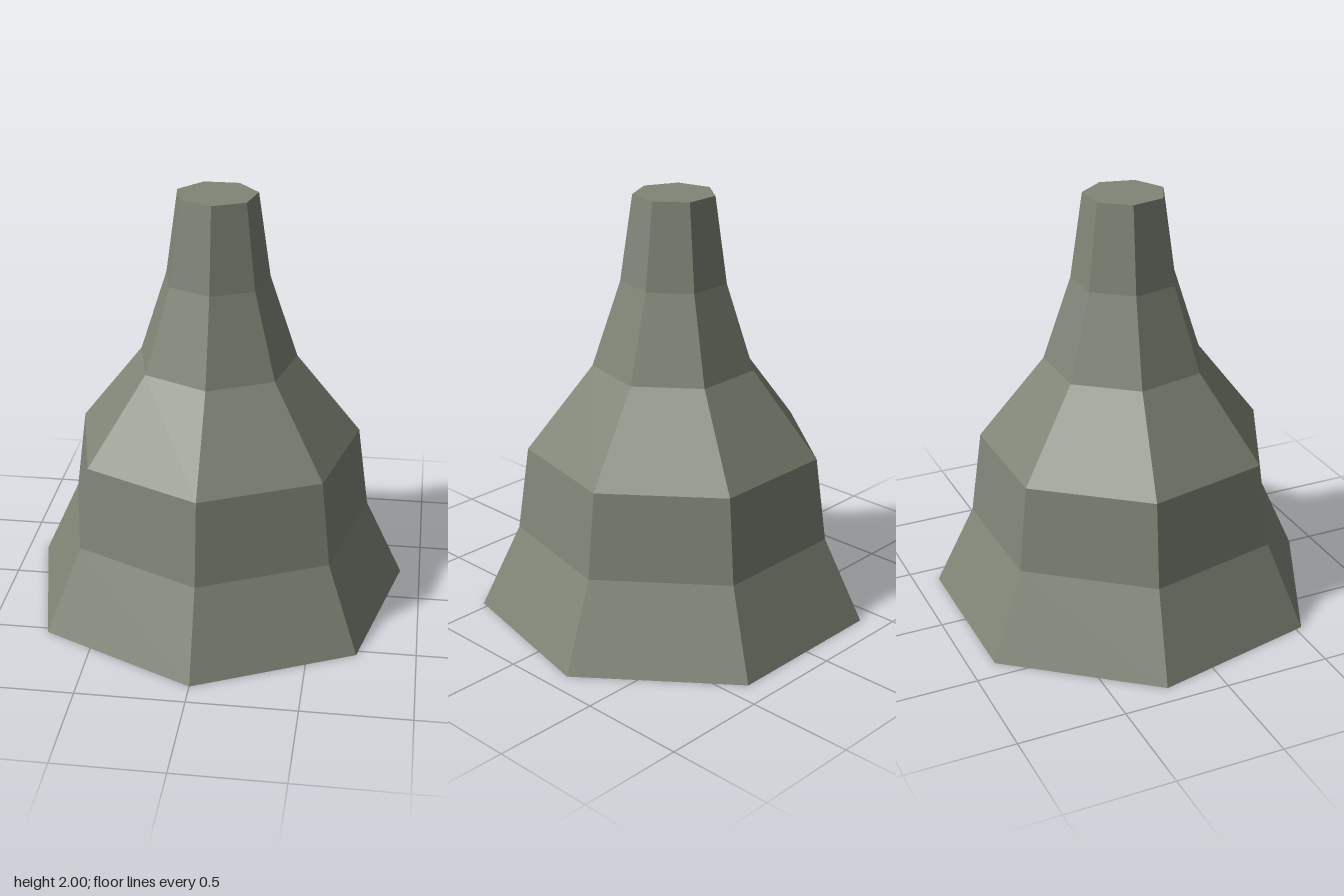
import * as THREE from 'three';

export function createModel() {
  const group = new THREE.Group();
  group.name = 'rockSpire';

  const stone = new THREE.MeshStandardMaterial({ color: 0x7f8677, flatShading: true });
  stone.name = 'grey green stone';

  // Stepped, flared profile, closed at the base and the flat summit
  const profile = [
    [0, 0], [0.928, 0], [0.743, 0.4], [0.689, 0.8],
    [0.38, 1.2], [0.248, 1.6], [0.19, 2], [0, 2],
  ].map(([r, y]) => new THREE.Vector2(r, y));

  // Seven-sided body with one corner pointing to the front
  const spire = new THREE.Mesh(new THREE.LatheGeometry(profile, 7), stone);
  spire.name = 'spire';
  spire.position.z = -0.046; // centres the uneven heptagon in depth
  group.add(spire);

  return group;
}
